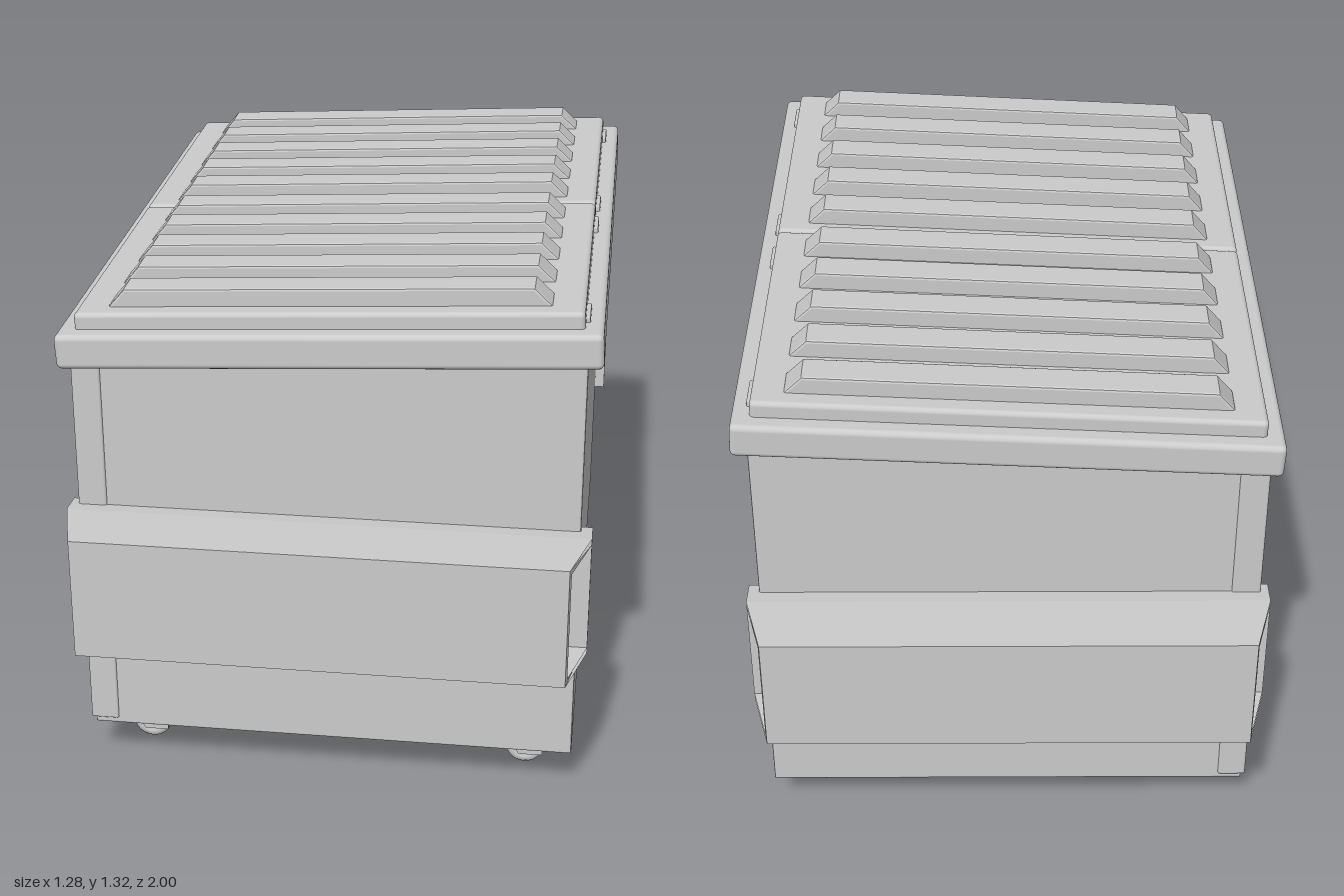
import * as THREE from 'three';
import { RoundedBoxGeometry } from 'three/addons/geometries/RoundedBoxGeometry.js';

const material = new THREE.MeshStandardMaterial({ color: 0xcccccc });

function add(parent, name, geometry, x = 0, y = 0, z = 0) {
  const mesh = new THREE.Mesh(geometry, material);
  mesh.name = name;
  mesh.position.set(x, y, z);
  parent.add(mesh);
  return mesh;
}

const toShape = (pts) => new THREE.Shape(pts.map(([x, y]) => new THREE.Vector2(x, y)));

// Extrudes an outline along z, centred, with a small bevel kept inside the outline
function slab(pts, width, bevel) {
  const geometry = new THREE.ExtrudeGeometry(toShape(pts), {
    depth: width - 2 * bevel, bevelEnabled: bevel > 0, bevelSize: bevel,
    bevelThickness: bevel, bevelOffset: -bevel, bevelSegments: 2,
  });
  return geometry.translate(0, 0, -width / 2 + bevel);
}

// Open rectangular sleeve along x, its ends cut back toward the outer wall
function forkPocketGeometry() {
  const outline = toShape([[0.765, 0.43], [0.835, 0.425], [1, 0.425], [1, 0.733], [0.835, 0.733], [0.765, 0.728]]);
  outline.holes.push(new THREE.Path(
    [[0.835, 0.44], [0.835, 0.718], [0.985, 0.718], [0.985, 0.44]].map(([x, y]) => new THREE.Vector2(x, y))));
  const geometry = new THREE.ExtrudeGeometry(outline, { depth: 1.26, bevelEnabled: false });
  geometry.translate(0, 0, -0.63).rotateY(-Math.PI / 2);
  const p = geometry.attributes.position;
  for (let i = 0; i < p.count; i++) {
    const cut = Math.max(0, p.getZ(i) - 0.835) / 0.165;
    p.setX(i, Math.sign(p.getX(i)) * (0.63 - 0.045 * cut));
  }
  geometry.computeVertexNormals();
  return geometry;
}

function createCaster() {
  const caster = new THREE.Group();
  caster.name = 'caster';
  // Rounded tyre turned about the axle
  const tyre = new THREE.LatheGeometry([
    [0, -0.024], [0.026, -0.024], [0.03, -0.027], [0.04, -0.027], [0.047, -0.02], [0.05, -0.008],
    [0.05, 0.008], [0.047, 0.02], [0.04, 0.027], [0.03, 0.027], [0.026, 0.024], [0, 0.024],
  ].map(([r, h]) => new THREE.Vector2(r, h)), 28);
  add(caster, 'wheel', tyre.rotateX(Math.PI / 2), 0, 0.05, -0.003);
  // Fork cheeks, top plate and axle
  const cheek = slab([[-0.015, 0.038], [0.045, 0.038], [0.052, 0.112], [-0.048, 0.112]], 0.01, 0);
  for (const z of [-0.035, 0.035]) add(caster, 'forkCheek', cheek, 0, 0, z);
  add(caster, 'forkTop', new THREE.BoxGeometry(0.1, 0.008, 0.08), 0.002, 0.108, 0);
  add(caster, 'axle', new THREE.CylinderGeometry(0.008, 0.008, 0.084, 12).rotateX(Math.PI / 2), 0, 0.05, 0);
  return caster;
}

function createLid() {
  const lid = new THREE.Group();
  lid.name = 'lid';
  add(lid, 'rim', new RoundedBoxGeometry(1.275, 0.085, 1.67, 3, 0.014));
  // Two lid halves, each with five raised ribs
  const panel = new RoundedBoxGeometry(1.19, 0.06, 0.79, 3, 0.012);
  const rib = slab([[-0.525, 0.07], [0.525, 0.07], [0.518, 0.085], [0.48, 0.125], [-0.48, 0.125], [-0.518, 0.085]], 0.084, 0.006);
  const hinge = new RoundedBoxGeometry(0.03, 0.022, 0.09, 2, 0.004);
  for (const side of [-1, 1]) {
    add(lid, 'lidPanel', panel, 0, 0.052, side * 0.3975);
    for (let i = 0; i < 5; i++) add(lid, 'lidRib', rib, 0, 0, side * (0.085 + i * 0.155));
    for (const z of [0.085, 0.705]) add(lid, 'hinge', hinge, 0.59, 0.046, side * z);
  }
  lid.position.y = 1.17;
  lid.rotation.z = 0.051;
  return lid;
}

export function createModel() {
  const model = new THREE.Group();
  model.name = 'wasteContainer';

  // Body: sloping top, stepped panels on the low side
  add(model, 'body', slab([
    [-0.6, 0.11], [0.603, 0.11], [0.603, 1.19], [-0.55, 1.13],
    [-0.55, 0.81], [-0.585, 0.785], [-0.585, 0.47], [-0.545, 0.45], [-0.6, 0.14],
  ], 1.59, 0.005));

  // Corner posts framing the stepped panels
  const post = new RoundedBoxGeometry(0.07, 1.005, 0.08, 2, 0.006);
  for (const side of [-1, 1]) add(model, 'cornerPost', post, -0.575, 0.6275, side * 0.76);

  // Lifting pockets front and back
  const pocket = forkPocketGeometry();
  add(model, 'frontForkPocket', pocket);
  add(model, 'backForkPocket', pocket).rotation.y = Math.PI;

  // Casters under the four corners
  for (const x of [-0.483, 0.483]) {
    for (const z of [-0.66, 0.66]) {
      const caster = createCaster();
      caster.position.set(x, 0, z);
      model.add(caster);
    }
  }

  model.add(createLid());
  return model;
}
